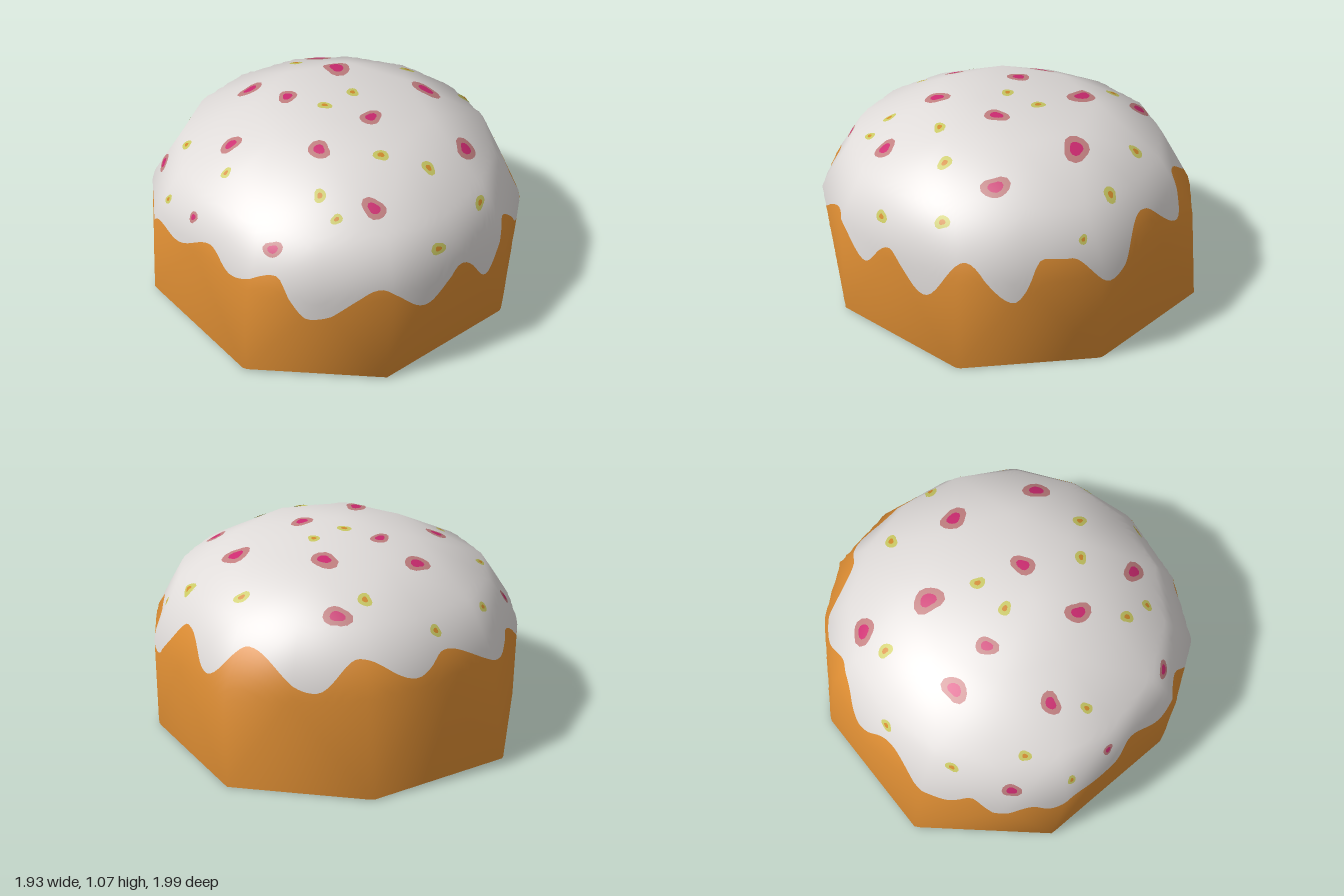
import * as THREE from 'three';

const mat = (name, color) => {
  const m = new THREE.MeshStandardMaterial({ color, side: THREE.DoubleSide });
  m.name = name;
  return m;
};

// Low-poly shell rings [x, z], listed from the front towards +x
const circle = (n, r, cx, cz) => Array.from({ length: n }, (_, i) => {
  const a = i / n * Math.PI * 2;
  return [cx + Math.sin(a) * r, cz + Math.cos(a) * r];
});
const bottomY = x => 0.009 - 0.0075 * x;
const RINGS = [
  { pts: [[.39, .91], [.89, .36], [.92, -.44], [.38, -.96], [-.42, -1], [-.95, -.45], [-.96, .38], [-.43, .9]], y: bottomY },
  {
    pts: [[.02, .99], [.39, .9], [.69, .71], [.89, .36], [.96, -.03], [.9, -.4], [.69, -.68], [.36, -.88],
      [0, -.96], [-.4, -.9], [-.77, -.66], [-.95, -.37], [-.97, 0], [-.94, .42], [-.74, .73], [-.41, .91]],
    y: x => 0.56 - 0.04 * x,
  },
  { pts: circle(16, 0.83, -0.03, 0.02), y: x => 0.85 - 0.01 * x },
  { pts: circle(8, 0.46, -0.01, 0.03), y: x => 1.04 - 0.02 * x },
];
const APEX = [-0.12, 1.07, 0.11];

function buildShell() {
  const pos = [], idx = [];
  for (const ring of RINGS) for (const [x, z] of ring.pts) pos.push(x, ring.y(x), z);
  pos.push(...APEX);
  const B = i => i % 8, S = i => 8 + i % 16, M = i => 24 + (i + 16) % 16, T = i => 40 + i % 8;
  for (let i = 0; i < 8; i++) {
    const k = 2 * i;
    idx.push(B(i), S(k + 1), S(k), B(i), S(k + 2), S(k + 1), B(i), B(i + 1), S(k + 2));
    for (const j of [k, k + 1]) idx.push(S(j), S(j + 1), M(j + 1), S(j), M(j + 1), M(j));
    idx.push(M(k - 1), M(k), T(i), M(k), M(k + 1), T(i), M(k + 1), T(i + 1), T(i));
    idx.push(T(i), T(i + 1), 48);
  }
  const g = new THREE.BufferGeometry();
  g.setAttribute('position', new THREE.Float32BufferAttribute(pos, 3));
  g.setIndex(idx);
  g.computeVertexNormals();
  return new THREE.Mesh(g, new THREE.MeshBasicMaterial({ side: THREE.DoubleSide }));
}

// Lower edge of the icing: [angle in degrees from the front towards +x, height]
const DRIPS = [
  [0, .60], [12.5, .40], [25, .62], [40, .43], [49, .64], [58, .62], [71, .46], [89, .72], [105, .56], [118, .73],
  [142, .56], [156, .71], [174, .59], [186, .68], [211, .52], [220, .61], [229, .51], [238, .57],
  [244, .49], [251, .57], [259, .54], [276, .66], [287, .60], [301, .67], [312, .46], [332, .61], [347, .43], [360, .60],
];
function dripHeight(deg) {
  const i = Math.max(1, DRIPS.findIndex(d => d[0] >= deg));
  const [a0, y0] = DRIPS[i - 1], [a1, y1] = DRIPS[i];
  const t = (deg - a0) / (a1 - a0);
  return y0 + (y1 - y0) * (1 - Math.cos(Math.PI * t)) / 2;
}

// Sprinkles: [x, z, radius]
const PINK = [
  [-.21, -.49, .067], [.37, -.62, .068], [.23, -.29, .075], [-.16, -.23, .054], [-.58, -.17, .056],
  [.51, .12, .077], [-.33, .24, .062], [.05, .2, .06], [-.79, .44, .046], [-.32, .65, .06],
  [.37, .58, .068], [-.74, -.57, .048], [-.91, -.06, .033],
];
const YELLOW = [
  [-.46, -.73, .033], [-.07, -.84, .034], [.2, -.61, .04], [-.68, -.43, .03], [.66, -.19, .04],
  [-.07, -.03, .036], [.13, -.04, .036], [-.71, -.04, .03], [.77, .17, .04], [.78, .4, .025],
  [-.49, .44, .035], [-.5, .58, .029], [-.11, .46, .036], [.07, .62, .039], [.24, .83, .038],
  [-.11, .9, .037], [-.9, -.3, .026],
];

export function createModel() {
  const group = new THREE.Group();
  group.name = 'icedCake';
  const cake = mat('cake orange', 0xdd8d33), icing = mat('icing white', 0xdfdbd9);
  const rose = mat('dusty rose', 0xc17f80), magenta = mat('magenta', 0xcc2a70);
  const lime = mat('pale lime', 0xc9c864), amber = mat('amber', 0xd18a2c);

  const shell = buildShell();
  const caster = new THREE.Raycaster();
  const V = (x, y, z) => new THREE.Vector3(x, y, z);
  // First surface point met from outside, with its smooth normal
  function cast(origin, dir) {
    for (let k = 0; k < 4; k++) {
      caster.set(origin.clone().addScaledVector(V(0.31, 0.2, -0.27), k * 0.0005), dir);
      const hit = caster.intersectObject(shell)[0];
      if (hit) return { p: hit.point, n: hit.normal };
    }
    return null;
  }
  const sideHit = (a, y) => {
    const d = V(Math.sin(a), 0, Math.cos(a));
    return cast(d.clone().multiplyScalar(3).setY(y), d.negate());
  };

  // Skin patch over all angles, rising from t = 0 to t = 1
  const COLS = 240;
  function skin(name, material, rows, column) {
    const pos = [], nor = [], idx = [];
    for (let i = 0; i <= COLS; i++) {
      const deg = i / COLS * 360, at = column(deg * Math.PI / 180, dripHeight(deg));
      for (let j = 0; j <= rows; j++) {
        const h = at(j / rows);
        pos.push(h.p.x, h.p.y, h.p.z);
        nor.push(h.n.x, h.n.y, h.n.z);
        if (i < COLS && j < rows) {
          const a = i * (rows + 1) + j, b = a + rows + 1;
          idx.push(a, b, b + 1, a, b + 1, a + 1);
        }
      }
    }
    addMesh(name, material, pos, nor, idx);
  }
  function addMesh(name, material, pos, nor, idx) {
    const g = new THREE.BufferGeometry();
    g.setAttribute('position', new THREE.Float32BufferAttribute(pos, 3));
    g.setAttribute('normal', new THREE.Float32BufferAttribute(nor, 3));
    g.setIndex(idx);
    const m = new THREE.Mesh(g, material);
    m.name = name;
    group.add(m);
  }

  // Cake wall, open underneath
  skin('cakeWall', cake, 12, (a, drip) => {
    const y0 = bottomY(Math.sin(a) * 0.96) + 0.002;
    return t => sideHit(a, y0 + (drip - y0) * t);
  });
  // Icing dome with its dripping edge
  const C = V(0, 0.35, 0);
  skin('icing', icing, 28, (a, drip) => {
    const start = sideHit(a, drip);
    const e0 = Math.atan2(drip - C.y, Math.hypot(start.p.x, start.p.z));
    return t => {
      if (t === 0) return start;
      const e = e0 + (Math.PI / 2 - 0.0005 - e0) * t;
      const d = V(Math.sin(a) * Math.cos(e), Math.sin(e), Math.cos(a) * Math.cos(e));
      return cast(C.clone().addScaledVector(d, 3), d.negate());
    };
  });

  // Thin irregular spots hugging both faces of the icing
  function spots(name, material, list, scale, lift) {
    const pos = [], nor = [], idx = [], N = 14, R = 4;
    list.forEach(([x, z, r], s) => {
      const c = cast(V(x, 3, z), V(0, -1, 0));
      if (!c) return;
      const u = V(1, 0, 0).addScaledVector(c.n, -c.n.x).normalize();
      const v = c.n.clone().cross(u);
      for (const side of [1, -1]) {
        const base = pos.length / 3;
        for (let k = 0; k <= R; k++) {
          for (let i = 0; i < N; i++) {
            const a = i / N * Math.PI * 2;
            const q = r * scale * k / R * (1 + 0.16 * Math.cos(2 * a + s * 1.7) + 0.08 * Math.sin(3 * a + s));
            const o = c.p.clone().addScaledVector(u, Math.cos(a) * q).addScaledVector(v, Math.sin(a) * q);
            const h = cast(o.addScaledVector(c.n, 0.3), c.n.clone().negate()) || c;
            const p = h.p.clone().addScaledVector(h.n, lift * side);
            pos.push(p.x, p.y, p.z);
            nor.push(h.n.x, h.n.y, h.n.z);
            if (k < R) {
              const j = (i + 1) % N, A = base + k * N, B = A + N;
              idx.push(A + i, B + i, B + j, A + i, B + j, A + j);
            }
          }
        }
      }
    });
    addMesh(name, material, pos, nor, idx);
  }
  spots('pinkSprinkles', rose, PINK, 1, 0.003);
  spots('pinkSprinkleCentres', magenta, PINK, 0.52, 0.005);
  spots('limeSprinkles', lime, YELLOW, 1, 0.003);
  spots('limeSprinkleCentres', amber, YELLOW, 0.42, 0.005);
  return group;
}
